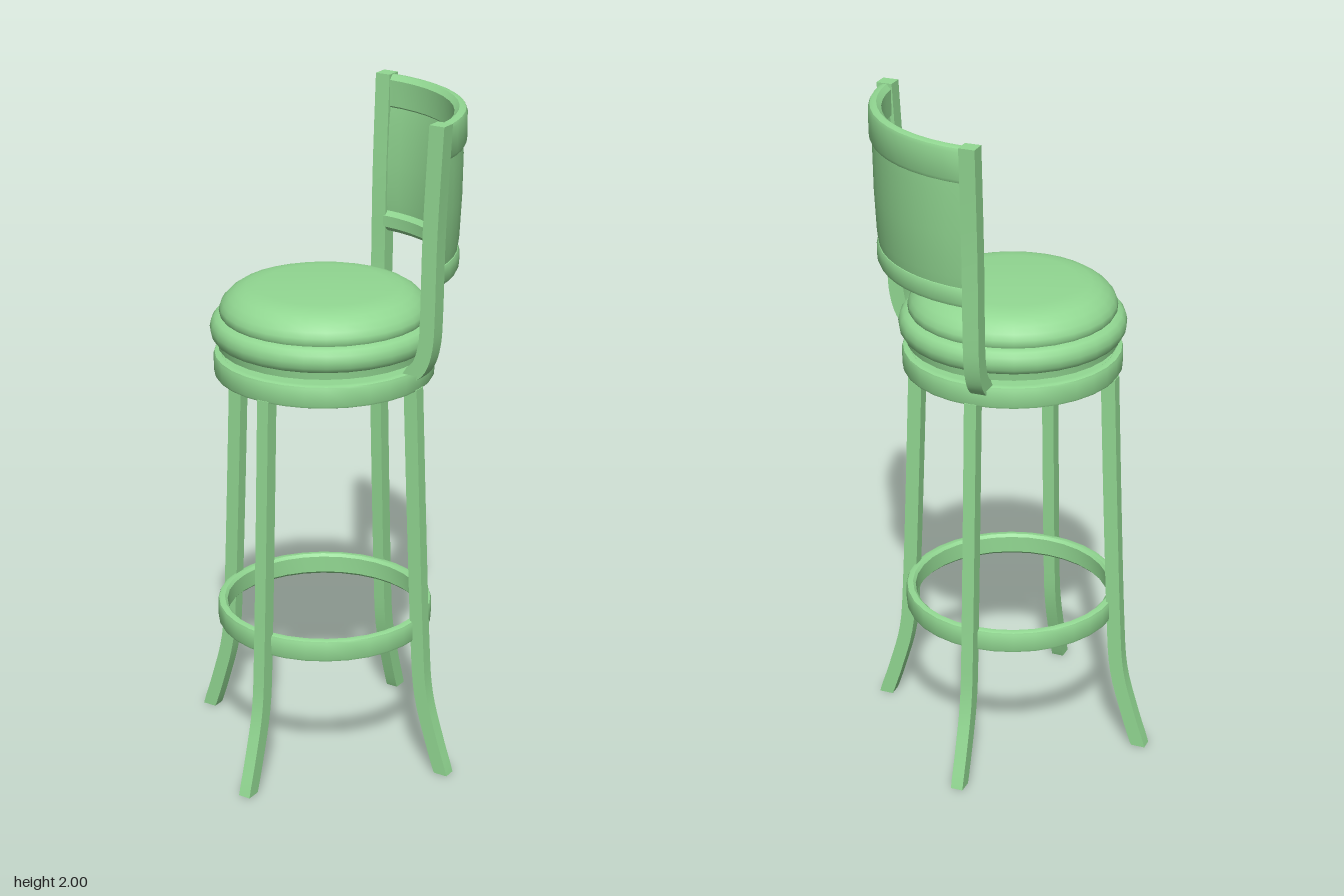
import * as THREE from 'three';
import { toCreasedNormals } from 'three/addons/utils/BufferGeometryUtils.js';

const material = new THREE.MeshStandardMaterial({ color: 0x92d892 });
const SEAT_X = -0.037; // axis of seat, rings and legs

function addMesh(parent, name, geometry, x = 0, y = 0, z = 0) {
  const mesh = new THREE.Mesh(geometry, material);
  mesh.name = name;
  mesh.position.set(x, y, z);
  parent.add(mesh);
  return mesh;
}

// Turned solid from [radius, height] pairs, listed counter-clockwise
function turned(points, segments = 32, start = 0, length = Math.PI * 2) {
  const profile = points.map(([r, y]) => new THREE.Vector2(r, y));
  return toCreasedNormals(new THREE.LatheGeometry(profile, segments, start, length), 0.7);
}

// Closed rectangular section with bevelled corners
function section(r0, r1, y0, y1, b) {
  return [
    [r0 + b, y0], [r1 - b, y0], [r1 - b * 0.3, y0 + b * 0.3], [r1, y0 + b],
    [r1, y1 - b], [r1 - b * 0.3, y1 - b * 0.3], [r1 - b, y1], [r0 + b, y1],
    [r0, y1 - b], [r0, y0 + b], [r0 + b, y0],
  ];
}

// Flat bar of constant width following a side-view centreline of [offset, height]
function bentBar(path, width, depth, steps) {
  const curve = new THREE.SplineCurve(path.map(([x, y]) => new THREE.Vector2(x, y)));
  const centre = curve.getPoints(steps);
  const side = (sign) => centre.map((p, i) => {
    const t = curve.getTangent(i / steps);
    // ends are cut level
    const level = i === 0 || i === steps;
    const n = level ? new THREE.Vector2(1, 0) : new THREE.Vector2(t.y, -t.x);
    return p.clone().addScaledVector(n, sign * width / 2);
  });
  const shape = new THREE.Shape([...side(1), ...side(-1).reverse()]);
  const geometry = new THREE.ExtrudeGeometry(shape, { depth, bevelEnabled: false });
  geometry.translate(0, 0, -depth / 2);
  return toCreasedNormals(geometry, 0.6);
}

export function createModel() {
  const model = new THREE.Group();
  model.name = 'barStool';

  // Swivel seat: base lip, rounded rim and domed cushion
  addMesh(model, 'seatRim', turned([
    [0, 1.287], [0.308, 1.287], [0.311, 1.308], [0.32, 1.312], [0.328, 1.325], [0.331, 1.343],
    [0.327, 1.362], [0.317, 1.375], [0.303, 1.381], [0, 1.381],
  ]), SEAT_X);
  addMesh(model, 'cushion', turned([
    [0, 1.378], [0.298, 1.378], [0.304, 1.39], [0.302, 1.404], [0.294, 1.42], [0.278, 1.437],
    [0.255, 1.452], [0.228, 1.461], [0.19, 1.465], [0, 1.467],
  ]), SEAT_X);

  // Leg ring with its closing plate, and the foot ring
  addMesh(model, 'legRing', turned(section(0.293, 0.321, 1.203, 1.27, 0.008)), SEAT_X);
  addMesh(model, 'swivelPlate', new THREE.CylinderGeometry(0.3, 0.3, 0.012, 32), SEAT_X, 1.262);
  addMesh(model, 'footRing', turned(section(0.293, 0.321, 0.415, 0.482, 0.008)), SEAT_X);

  // Four splayed legs on the diagonals
  const legGeometry = bentBar(
    [[0.421, 0], [0.385, 0.11], [0.348, 0.25], [0.334, 0.42], [0.317, 0.8], [0.301, 1.21]],
    0.043, 0.037, 20);
  for (let i = 0; i < 4; i++) {
    const leg = addMesh(model, 'leg', legGeometry, SEAT_X);
    leg.rotation.y = Math.PI / 4 + i * Math.PI / 2;
  }

  // Back posts, hooked inward at the foot
  const postGeometry = bentBar(
    [[-0.055, 1.27], [-0.025, 1.3], [-0.006, 1.36], [0, 1.45], [0.005, 1.7], [0.021, 2]],
    0.047, 0.047, 20);
  for (const side of [-1, 1]) {
    const post = addMesh(model, 'backPost', postGeometry, 0.205, 0, side * 0.293);
    post.rotation.y = -side * Math.PI / 4;
  }

  // Curved back: top rail, padded panel and lower rail between the posts
  const half = 0.74;
  const arc = (points) => turned(points, 12, Math.PI / 2 - half, half * 2);
  const back = new THREE.Group();
  back.name = 'backrest';
  back.position.x = -0.092;
  model.add(back);
  addMesh(back, 'topRail', arc(section(0.418, 0.455, 1.893, 1.998, 0.014)));
  addMesh(back, 'backPanel', arc([
    [0.412, 1.57], [0.43, 1.57], [0.438, 1.62], [0.444, 1.74], [0.446, 1.86], [0.444, 1.91],
    [0.424, 1.91], [0.416, 1.86], [0.408, 1.74], [0.406, 1.62], [0.412, 1.57],
  ]));
  addMesh(back, 'lowerRail', arc(section(0.396, 0.439, 1.53, 1.592, 0.014)));

  return model;
}
